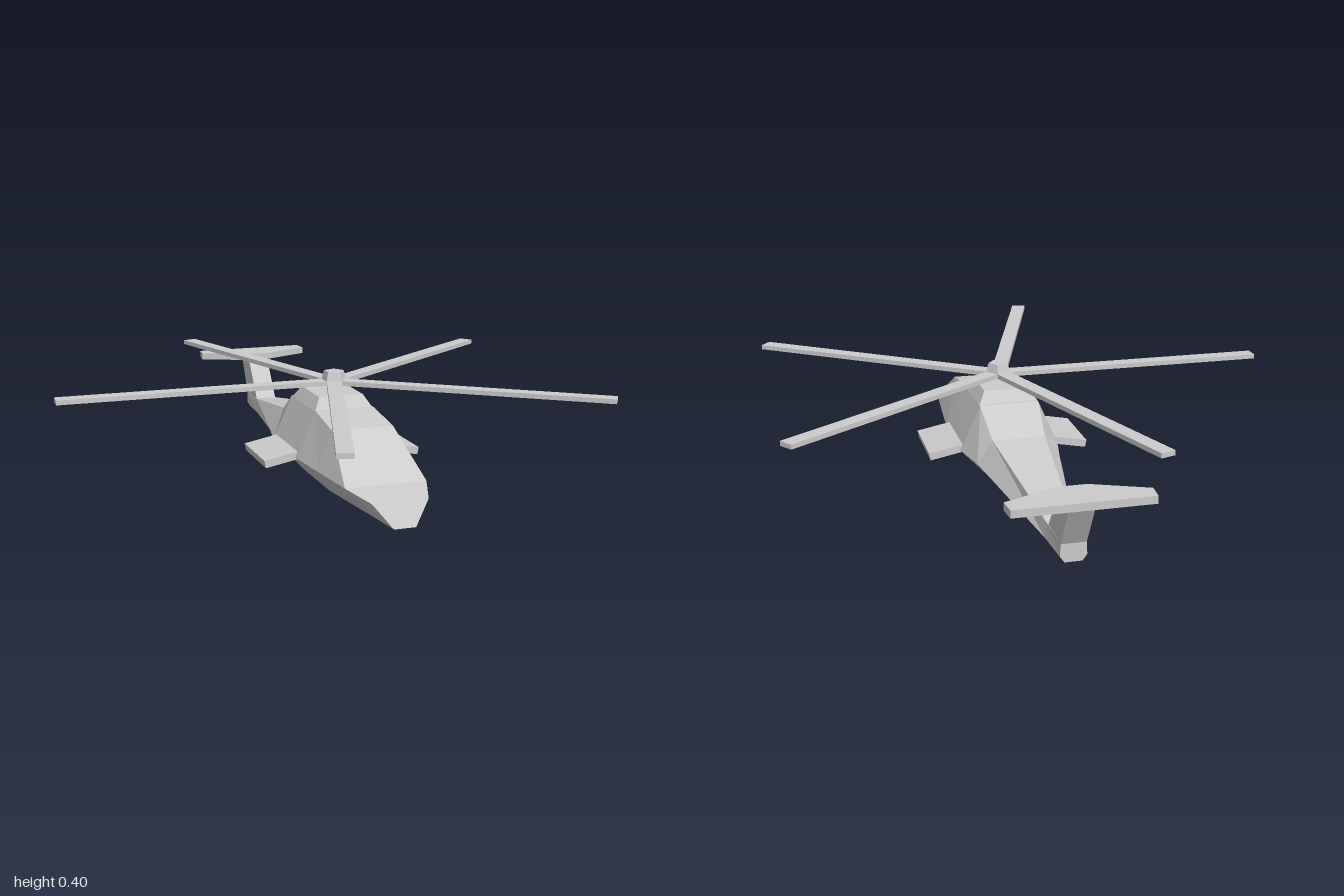
import * as THREE from 'three';

const CX = 0.078; // fuselage centre line

const material = () => new THREE.MeshStandardMaterial({ color: 0xcccccc, flatShading: true });

function addMesh(parent, name, geometry) {
  const mesh = new THREE.Mesh(geometry, material());
  mesh.name = name;
  parent.add(mesh);
  return mesh;
}

// Skin a closed solid over matching rings; each ring runs anticlockwise seen from the first end.
function loft(rings) {
  const pos = [];
  const tri = (a, b, c) => {
    const area = new THREE.Vector3().subVectors(b, a).cross(new THREE.Vector3().subVectors(c, a));
    if (area.length() > 1e-7) for (const p of [a, b, c]) pos.push(p.x, p.y, p.z);
  };
  const n = rings[0].length;
  for (let i = 0; i < rings.length - 1; i++) {
    for (let j = 0; j < n; j++) {
      const k = (j + 1) % n;
      const [a, b, c, d] = [rings[i][j], rings[i][k], rings[i + 1][j], rings[i + 1][k]];
      tri(a, c, b);
      tri(b, c, d);
    }
  }
  const first = rings[0], last = rings[rings.length - 1];
  for (let j = 1; j < n - 1; j++) {
    tri(first[0], first[j], first[j + 1]);
    tri(last[0], last[j + 1], last[j]);
  }
  const geometry = new THREE.BufferGeometry();
  geometry.setAttribute('position', new THREE.Float32BufferAttribute(pos, 3));
  geometry.computeVertexNormals();
  return geometry;
}

const v = (x, y, z) => new THREE.Vector3(x, y, z);

// Horizontal rectangle ring, anticlockwise from above
const rect = (w, y, zFront, zBack) => [
  v(-w, y, zFront), v(w, y, zFront), v(w, y, zBack), v(-w, y, zBack),
];

// Six-sided fuselage section: half width and height at belly, chine and roof
const section = (z, [wb, yb], [wm, ym], [wt, yt], zBelly = z) => [
  v(-wb, yb, zBelly), v(wb, yb, zBelly), v(wm, ym, z),
  v(wt, yt, z), v(-wt, yt, z), v(-wm, ym, z),
];

export function createModel() {
  const model = new THREE.Group();
  model.name = 'helicopter';

  const body = new THREE.Group();
  body.name = 'body';
  body.position.x = CX;
  model.add(body);

  // Fuselage, nose to tail
  addMesh(body, 'fuselage', loft([
    section(0.69, [0.037, 0.035], [0.095, 0.11], [0.095, 0.11], 0.73),
    section(0.57, [0.042, 0.026], [0.14, 0.13], [0.14, 0.13]),
    section(0.36, [0.05, 0.014], [0.16, 0.13], [0.108, 0.265]),
    section(0.19, [0.057, 0.005], [0.175, 0.13], [0.106, 0.29]),
    section(-0.08, [0.057, 0.005], [0.175, 0.13], [0.104, 0.29]),
    section(-0.22, [0.052, 0.045], [0.145, 0.13], [0.092, 0.21]),
    section(-0.75, [0.032, 0.057], [0.05, 0.08], [0.042, 0.125]),
    section(-0.89, [0.028, 0.06], [0.042, 0.08], [0.04, 0.125]),
  ]));

  // Engine housing on the roof
  addMesh(body, 'engineHousing', loft([
    rect(0.08, 0.33, 0.15, -0.04),
    rect(0.105, 0.288, 0.18, -0.07),
  ]));

  // Swept tail fin
  addMesh(body, 'tailFin', loft([
    rect(0.04, 0.27, -0.865, -0.975),
    rect(0.04, 0.12, -0.75, -0.89),
  ]));

  // Tailplane on top of the fin
  const plan = [[-0.046, -0.865], [0.046, -0.865], [0.222, -0.94], [0.217, -1], [-0.217, -1], [-0.222, -0.94]];
  addMesh(body, 'tailplane', loft([0.292, 0.267].map((y) => plan.map(([x, z]) => v(x, y, z)))));

  // Drooping stub wings
  for (const side of [1, -1]) {
    const wing = addMesh(body, side > 0 ? 'leftStubWing' : 'rightStubWing',
      new THREE.BoxGeometry(0.19, 0.026, 0.248));
    wing.position.set(side * 0.19, 0.132, 0.052);
    wing.rotation.z = -side * 0.19;
  }

  // Main rotor: five-sided hub with one blade on each flat
  const rotor = new THREE.Group();
  rotor.name = 'mainRotor';
  rotor.position.set(0.084, 0, 0.06);
  model.add(rotor);

  const hub = addMesh(rotor, 'rotorHub', new THREE.CylinderGeometry(0.036, 0.05, 0.045, 5));
  hub.position.y = 0.3775;
  hub.rotation.y = Math.PI / 2;

  for (let i = 0; i < 5; i++) {
    const blade = addMesh(rotor, 'rotorBlade', new THREE.BoxGeometry(0.945, 0.016, 0.052).translate(-0.5, 0, 0));
    blade.position.y = 0.361;
    blade.rotation.y = (i * Math.PI * 2) / 5;
  }

  return model;
}
